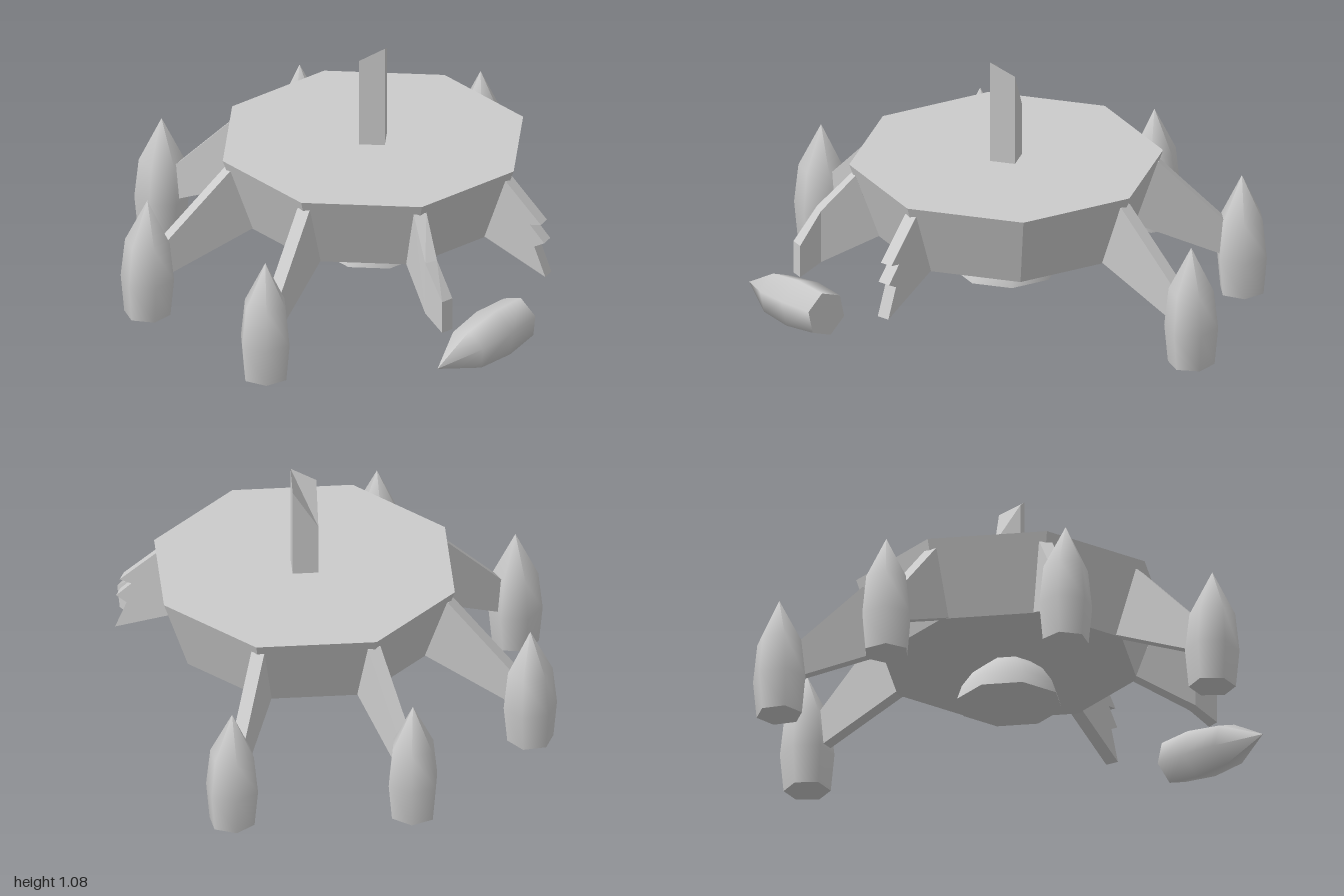
import * as THREE from 'three';
import { ConvexGeometry } from 'three/addons/geometries/ConvexGeometry.js';

const flat = new THREE.MeshStandardMaterial({ color: 0xcccccc, flatShading: true });
const smooth = new THREE.MeshStandardMaterial({ color: 0xcccccc });
const THICK = 0.055;

function mesh(name, geometry, material = flat) {
  const m = new THREE.Mesh(geometry, material);
  m.name = name;
  return m;
}

// Smooth lathe with a flat disc closing its lower end
function cappedLathe(name, profile, sides) {
  const g = new THREE.Group();
  g.name = name;
  const pts = profile.map(([r, y]) => new THREE.Vector2(r, y));
  g.add(mesh(name + 'Shell', new THREE.LatheGeometry(pts, sides), smooth));
  const cap = new THREE.CircleGeometry(profile[0][0], sides);
  cap.rotateZ(-Math.PI / 2).rotateX(Math.PI / 2).translate(0, profile[0][1], 0);
  g.add(mesh(name + 'Base', cap));
  return g;
}

// Six-sided pointed pod standing on its base
const makePod = (name) =>
  cappedLathe(name, [[0.096, 0], [0.111, 0.16], [0.093, 0.325], [0, 0.512]], 6);

// Leg plate cut from a side outline of [radius, height] points
function plate(name, outline) {
  const shape = new THREE.Shape(outline.map(([r, y]) => new THREE.Vector2(r, y)));
  const geo = new THREE.ExtrudeGeometry(shape, { depth: THICK, bevelEnabled: false });
  return mesh(name, geo.translate(0, 0, -THICK / 2));
}

// Four corners of an upright cross-section: radius, sideways shift, turn, bottom, top
function section(r, side, turn, bottom, top, topR = r) {
  const pts = [];
  for (const s of [-1, 1]) {
    const dx = Math.sin(turn) * s * THICK / 2, dz = Math.cos(turn) * s * THICK / 2;
    pts.push(new THREE.Vector3(r + dx, bottom, side + dz));
    pts.push(new THREE.Vector3(topR + dx, top, side + dz));
  }
  return pts;
}

export function createModel() {
  const model = new THREE.Group();
  model.name = 'podLander';

  // Everything but the loose pod is centred on the hull axis
  const craft = new THREE.Group();
  craft.name = 'craft';
  craft.position.x = 0.12;
  model.add(craft);

  // Tapered octagonal hull
  const hull = new THREE.CylinderGeometry(0.642, 0.533, 0.315, 8);
  craft.add(mesh('hull', hull.rotateY(Math.PI / 8).translate(0, 0.4825, 0)));

  // Bell under the hull
  const bell = cappedLathe('bell',
    [[0.22, 0.155], [0.2, 0.215], [0.155, 0.28], [0.09, 0.33]], 8);
  bell.rotation.y = Math.PI / 8;
  craft.add(bell);

  // Square mast with a jagged, broken top
  const mast = new THREE.BoxGeometry(0.105, 0.44, 0.105).rotateY(Math.PI / 2);
  const p = mast.attributes.position;
  for (let i = 0; i < p.count; i++) {
    const right = p.getX(i) > 0, front = p.getZ(i) > 0;
    const top = right ? (front ? 1.08 : 1.03) : (front ? 1.02 : 0.86);
    p.setY(i, p.getY(i) > 0 ? top : 0.63);
  }
  craft.add(mesh('mast', mast));

  // Legs radiate from the hull corners; one corner has lost its leg
  for (let k = 0; k < 7; k++) {
    const leg = new THREE.Group();
    leg.rotation.y = -(k + 0.5) * Math.PI / 4;
    if (k === 0) {
      // Snapped leg with a jagged end
      leg.name = 'snappedLeg';
      leg.add(plate('snappedPlate', [[0.5, 0.335], [0.53, 0.325], [0.8, 0.208],
        [0.75, 0.335], [0.795, 0.36], [0.73, 0.43], [0.78, 0.44], [0.622, 0.6], [0.55, 0.6]]));
    } else if (k === 1) {
      // Bent leg that dropped its pod
      leg.name = 'bentLeg';
      const root = section(0.52, 0, 0, 0.328, 0.6, 0.62);
      const bend = section(0.765, 0, 0.2, 0.222, 0.45);
      const end = section(0.86, -0.038, 0.4, 0.175, 0.315);
      leg.add(mesh('bentUpper', new ConvexGeometry([...root, ...bend])));
      leg.add(mesh('bentLower', new ConvexGeometry([...bend, ...end])));
    } else {
      leg.name = 'leg';
      leg.add(plate('legPlate', [[0.5, 0.335], [0.53, 0.325], [0.9, 0.166],
        [0.9, 0.315], [0.622, 0.6], [0.55, 0.6]]));
      const pod = makePod('pod');
      pod.position.x = 0.964;
      leg.add(pod);
    }
    craft.add(leg);
  }

  // Loose pod lying on its side
  const fallen = makePod('fallenPod');
  fallen.position.set(0.76, 0.147, 0.575);
  const axis = new THREE.Vector3(-0.3, -0.04, 0.415).normalize();
  fallen.quaternion.setFromUnitVectors(new THREE.Vector3(0, 1, 0), axis);
  fallen.rotateY(0.25);
  model.add(fallen);

  return model;
}
